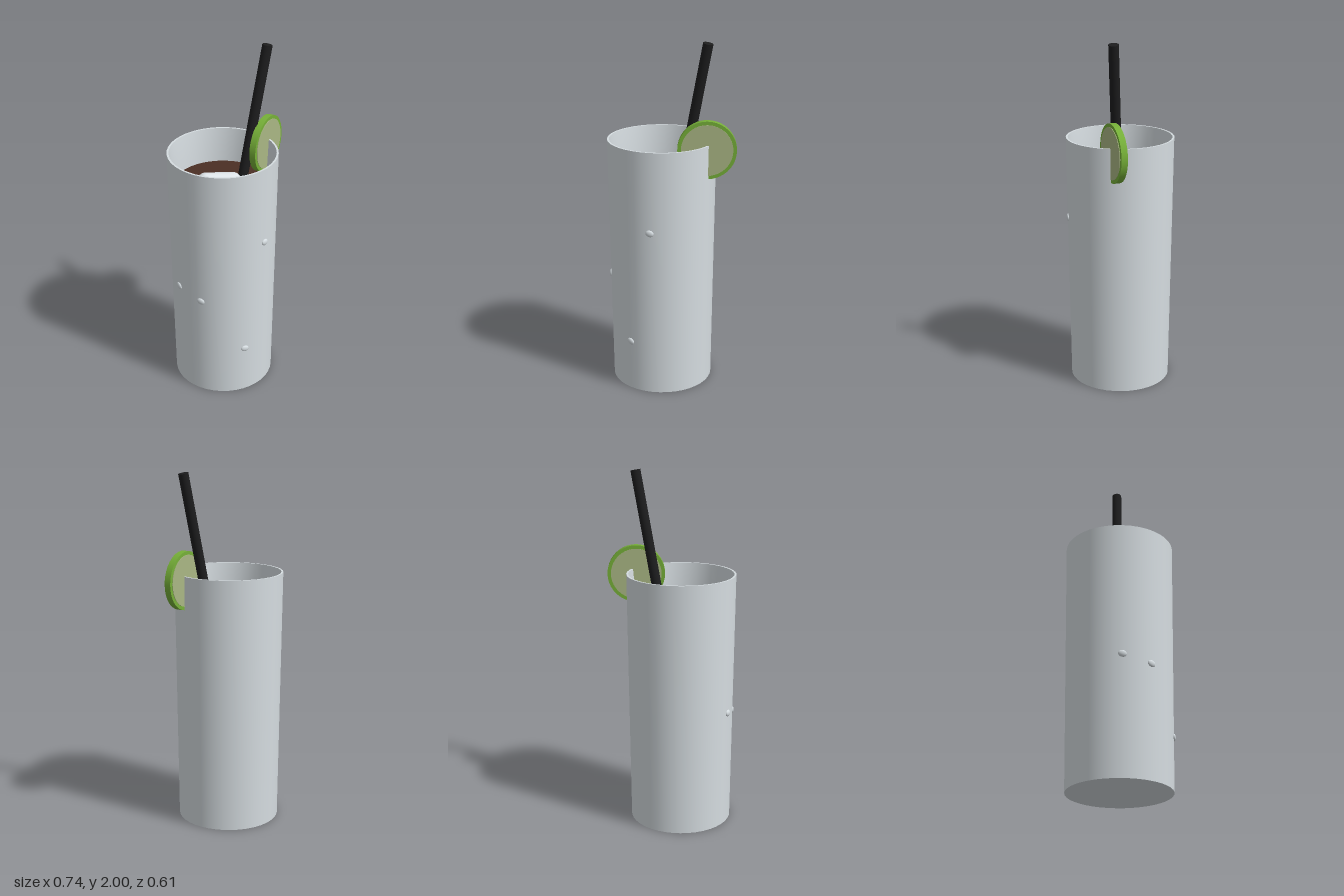
import * as THREE from 'three';
import { RoundedBoxGeometry } from 'three/addons/geometries/RoundedBoxGeometry.js';

const AXIS_X = -0.068; // glass axis

function material(name, color, side = THREE.FrontSide) {
  const m = new THREE.MeshStandardMaterial({ color, side });
  m.name = name;
  return m;
}

export function createModel() {
  const glass = material('glass grey', 0xd6dde1, THREE.DoubleSide);
  const ice = material('ice white', 0xe4eaee);
  const cola = material('dark brown drink', 0x4b2f24);
  const rind = material('lime green', 0x76b038);
  const flesh = material('pale lime flesh', 0xaab784);
  const black = material('straw black', 0x1d1d1e);

  const model = new THREE.Group();
  model.name = 'icedDrink';
  const add = (parent, name, geometry, mat, x = 0, y = 0, z = 0) => {
    const mesh = new THREE.Mesh(geometry, mat);
    mesh.name = name;
    mesh.position.set(x, y, z);
    parent.add(mesh);
    return mesh;
  };

  // Tumbler: separate surfaces keep the rim and foot edges crisp
  const tumbler = new THREE.Group();
  tumbler.name = 'tumbler';
  tumbler.position.x = AXIS_X;
  model.add(tumbler);
  const surfaces = {
    base: [[0, 0], [0.288, 0]],
    outerWall: [[0.288, 0], [0.305, 1.44]],
    rim: [[0.305, 1.44], [0.294, 1.44]],
    innerWall: [[0.294, 1.44], [0.277, 1.24], [0.262, 0.06]],
    innerFloor: [[0.262, 0.06], [0, 0.06]],
  };
  for (const [name, pts] of Object.entries(surfaces)) {
    const profile = pts.map(([r, y]) => new THREE.Vector2(r, y));
    add(tumbler, name, new THREE.LatheGeometry(profile, 40), glass);
  }

  // Drink filling the tumbler
  add(tumbler, 'drink', new THREE.CylinderGeometry(0.276, 0.26, 1.17, 40), cola, 0, 0.655, 0);

  // Condensation drops: x and z from the axis, height y
  const drops = [[0.088, 0.98, 0.285], [-0.25, 0.635, 0.155], [-0.3, 0.67, 0], [-0.04, 0.3, 0.287]];
  for (const [x, y, z] of drops) {
    const angle = Math.atan2(x, z);
    const r = 0.288 + 0.0118 * y;
    const drop = add(tumbler, 'waterDrop', new THREE.SphereGeometry(1, 14, 10), glass,
      Math.sin(angle) * r, y, Math.cos(angle) * r);
    drop.scale.set(0.024, 0.019, 0.01);
    drop.rotation.set(0, angle, -0.25, 'YXZ');
  }

  // Tilted ice cube breaking the surface
  const cube = add(model, 'iceCube', new RoundedBoxGeometry(0.25, 0.25, 0.25, 4, 0.05), ice, -0.105, 1.17, -0.002);
  cube.rotation.set(-0.63, -0.37, -0.09, 'YZX');

  // Leaning straw
  const top = new THREE.Vector3(0.218, 1.994, 0);
  const bottom = new THREE.Vector3(-0.15, 0.19, 0);
  const along = top.clone().sub(bottom);
  const straw = add(model, 'straw', new THREE.CylinderGeometry(0.028, 0.028, along.length(), 20), black);
  straw.position.copy(top).add(bottom).multiplyScalar(0.5);
  straw.quaternion.setFromUnitVectors(new THREE.Vector3(0, 1, 0), along.normalize());

  // Lime wheel on the rim, flesh slightly proud of the rind
  const lime = new THREE.Group();
  lime.name = 'limeSlice';
  lime.position.set(0.218, 1.413, 0);
  lime.rotation.y = 0.49;
  model.add(lime);
  const wheel = (name, r, depth, mat) =>
    add(lime, name, new THREE.CylinderGeometry(r, r, depth, 40).rotateX(Math.PI / 2), mat);
  wheel('limeRind', 0.1625, 0.036, rind);
  wheel('limeFlesh', 0.143, 0.042, flesh);

  return model;
}
